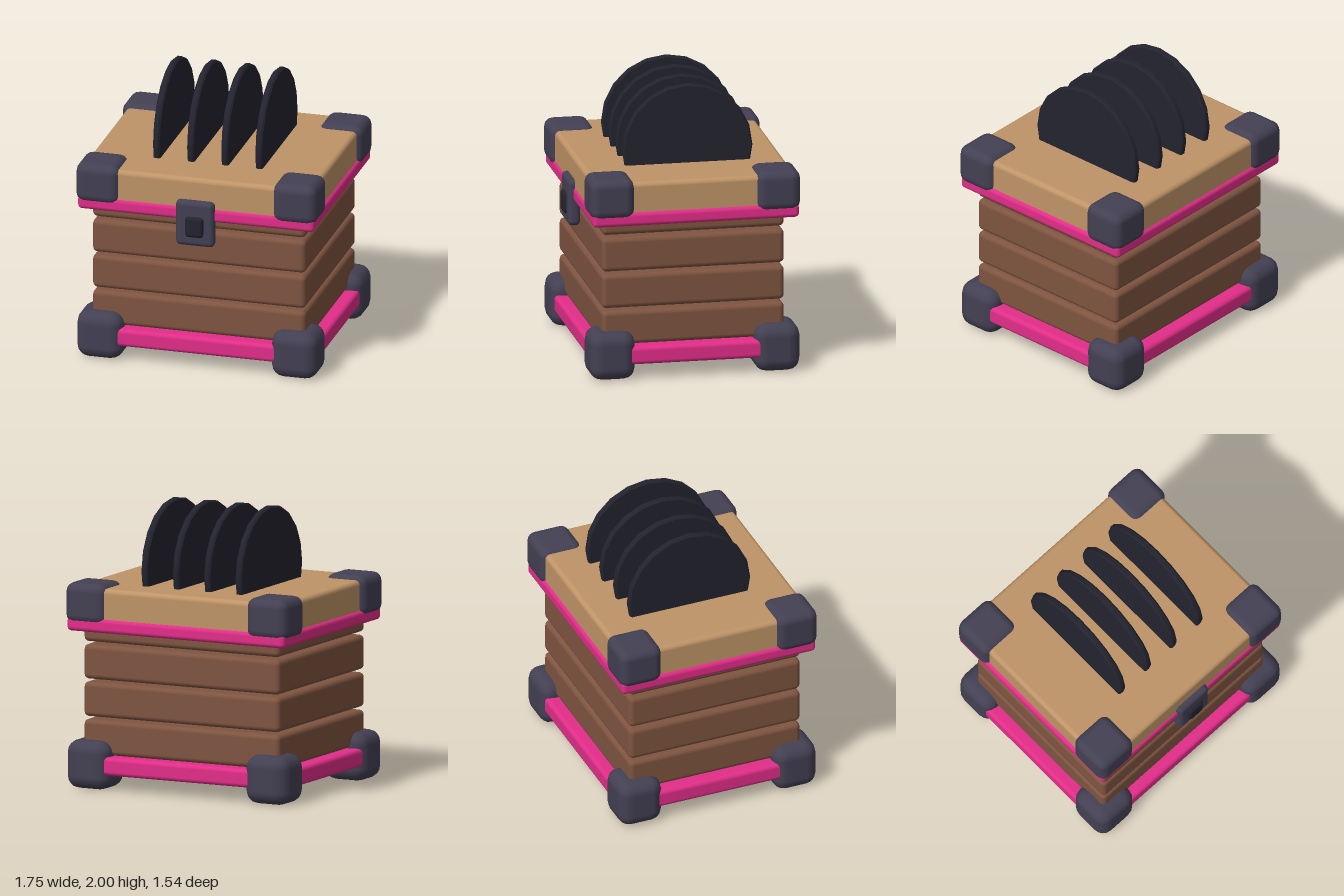
import * as THREE from 'three';
import { RoundedBoxGeometry } from 'three/addons/geometries/RoundedBoxGeometry.js';
import { toCreasedNormals } from 'three/addons/utils/BufferGeometryUtils.js';

const material = (name, color) => {
  const m = new THREE.MeshStandardMaterial({ color });
  m.name = name;
  return m;
};

export function createModel() {
  const model = new THREE.Group();
  model.name = 'crate';
  const wood = material('brown wood', 0x7e5440);
  const tan = material('tan lid', 0xbf9467);
  const pink = material('pink trim', 0xe22d88);
  const metal = material('dark purple metal', 0x434053);
  const black = material('blue black', 0x22232e);
  const midZ = -0.015;

  // Rounded block given by its extents on each axis
  const block = (name, mat, [x0, x1], [y0, y1], [z0, z1], radius, segments = 3) => {
    const geo = new RoundedBoxGeometry(x1 - x0, y1 - y0, z1 - z0, segments, radius);
    const mesh = new THREE.Mesh(geo, mat);
    mesh.position.set((x0 + x1) / 2, (y0 + y1) / 2, (z0 + z1) / 2);
    mesh.name = name;
    model.add(mesh);
    return mesh;
  };

  // Base trim and the four stacked wooden layers, with open gaps between
  block('baseTrim', pink, [-0.855, 0.855], [0.11, 0.24], [-0.74, 0.71], 0.03);
  for (let i = 0; i < 4; i++) {
    const y = 0.24 + i * 0.266;
    block('woodLayer', wood, [-0.775, 0.775], [y, y + 0.245], [-0.662, 0.637], 0.035);
  }

  // Lid with its trim
  block('lidTrim', pink, [-0.86, 0.86], [1.12, 1.22], [-0.753, 0.718], 0.03);
  block('lid', tan, [-0.84, 0.84], [1.17, 1.432], [-0.735, 0.705], 0.035);

  // Chunky corner guards on the lid and the base
  for (const sx of [-1, 1]) {
    for (const sz of [-1, 1]) {
      const span = (inner, outer, s, c = 0) => [c + s * inner, c + s * outer].sort((a, b) => a - b);
      block('lidCorner', metal, span(0.557, 0.876, sx), [1.17, 1.462], span(0.435, 0.75, sz, midZ), 0.065, 2);
      block('baseCorner', metal, span(0.54, 0.876, sx), [0, 0.345], span(0.425, 0.75, sz, midZ), 0.09, 2);
    }
  }

  // Front latch
  block('latchPlate', metal, [-0.14, 0.14], [0.937, 1.273], [0.662, 0.75], 0.035);
  block('latchButton', black, [-0.067, 0.067], [1.01, 1.163], [0.7, 0.772], 0.025);

  // Row of upright discs set into the lid
  const profile = [[0, -0.025], [0.452, -0.025], [0.463, -0.014], [0.463, 0.014], [0.452, 0.025], [0, 0.025]]
    .map(([r, y]) => new THREE.Vector2(r, y));
  const discGeo = toCreasedNormals(new THREE.LatheGeometry(profile, 20), 0.5);
  discGeo.rotateZ(Math.PI / 2);
  for (let i = 0; i < 4; i++) {
    const disc = new THREE.Mesh(discGeo, black);
    disc.name = 'disc';
    disc.position.set(-0.372 + i * 0.248, 1.537, -0.048);
    model.add(disc);
  }
  return model;
}
